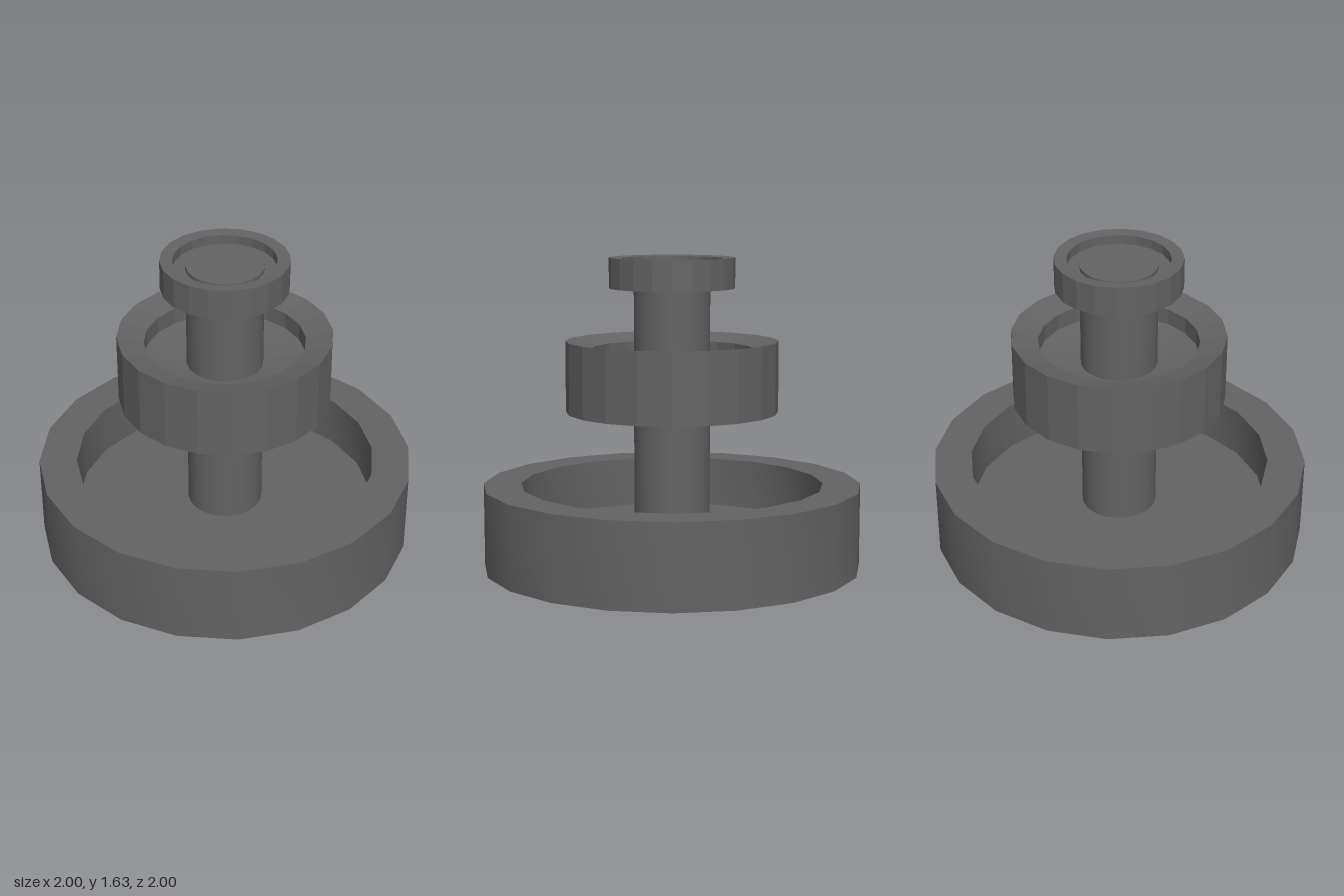
import * as THREE from 'three';
import { toCreasedNormals } from 'three/addons/utils/BufferGeometryUtils.js';

const SIDES = 20;
const STONE = 0x636363;

// Bowl turned from its outer wall, rim, inner wall and floor
function makeBowl(name, { bottom, top, outer, inner, lip, floor, centre }, flatShading) {
  const profile = [
    [0, bottom], [outer, bottom], [outer, top],
    [inner, lip], [inner, floor], [0, centre],
  ].map(([r, y]) => new THREE.Vector2(r, y));
  const lathe = new THREE.LatheGeometry(profile, SIDES);
  const geometry = flatShading ? lathe : toCreasedNormals(lathe, 0.4);
  const mesh = new THREE.Mesh(geometry, new THREE.MeshStandardMaterial({ color: STONE, flatShading }));
  mesh.name = name;
  return mesh;
}

export function createModel() {
  const fountain = new THREE.Group();
  fountain.name = 'tieredFountain';

  // Three basins, from the ground up; the middle one has a sloping rim and a dished floor
  fountain.add(
    makeBowl('lowerBasin', { bottom: 0, top: 0.44, outer: 1, inner: 0.8, lip: 0.44, floor: 0.17, centre: 0.17 }, false),
    makeBowl('middleBowl', { bottom: 0.825, top: 1.2, outer: 0.56, inner: 0.42, lip: 1.16, floor: 1.07, centre: 1 }, true),
    makeBowl('topBowl', { bottom: 1.475, top: 1.635, outer: 0.33, inner: 0.265, lip: 1.63, floor: 1.58, centre: 1.58 }, true),
  );

  // Central column running through all the basins
  const bottom = 0.1, top = 1.6;
  const column = new THREE.Mesh(
    new THREE.CylinderGeometry(0.2, 0.2, top - bottom, SIDES),
    new THREE.MeshStandardMaterial({ color: STONE }),
  );
  column.position.y = (top + bottom) / 2;
  column.name = 'column';
  fountain.add(column);

  return fountain;
}
